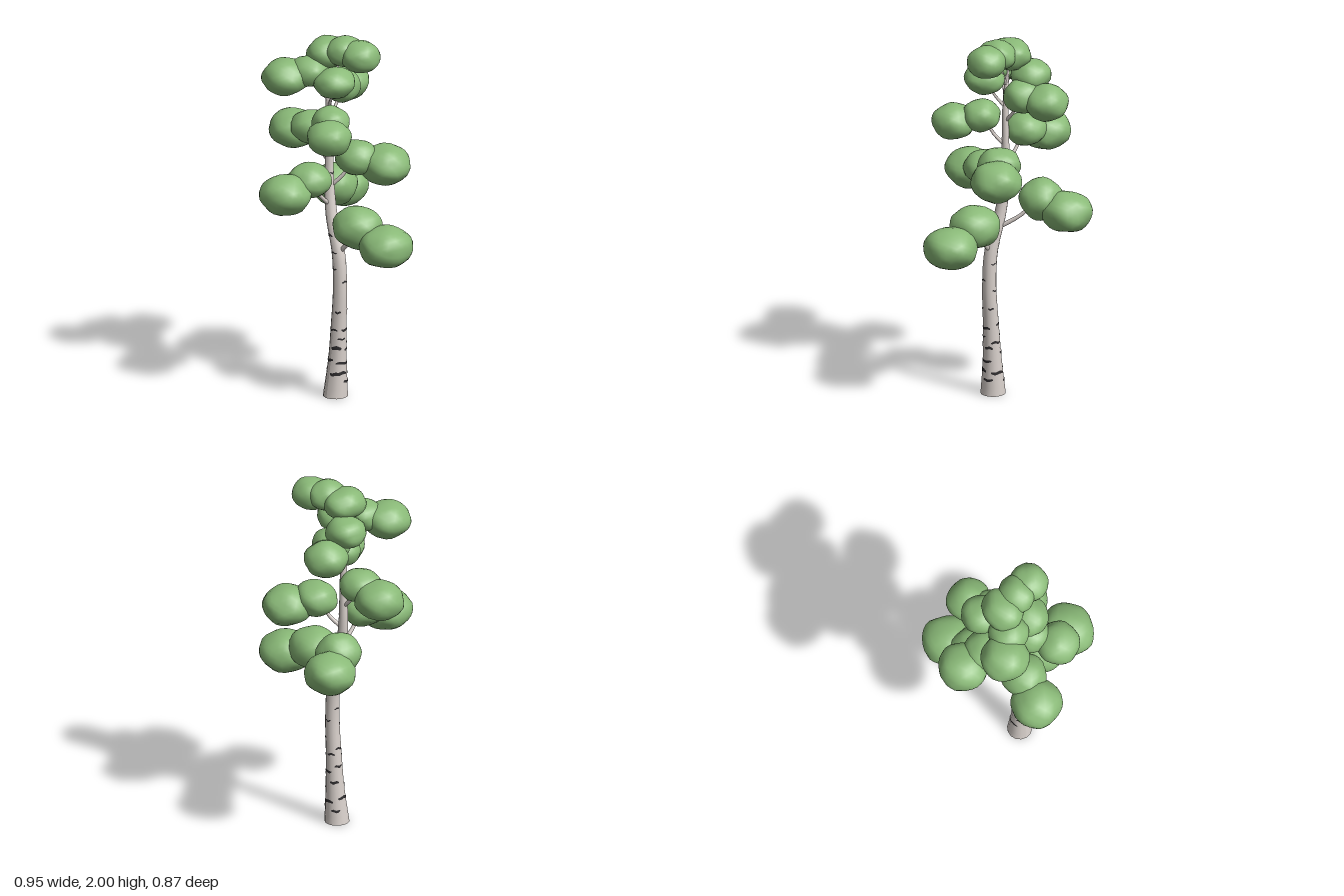
import * as THREE from 'three';
import { mergeVertices } from 'three/addons/utils/BufferGeometryUtils.js';

const TRUNK_H = 1.8;
const V = (x, y, z) => new THREE.Vector3(x, y, z);

// Trunk profile at equal height steps: centre x, radius, centre z
const profile = new THREE.CatmullRomCurve3([
  [0, 0.067, 0.005], [0.01, 0.05, 0], [0.02, 0.042, 0], [0.03, 0.038, 0], [0.018, 0.036, 0],
  [-0.04, 0.032, -0.005], [-0.068, 0.025, -0.015], [-0.068, 0.02, -0.015],
  [-0.07, 0.016, -0.012], [-0.085, 0.009, -0.01],
].map(p => V(...p)), false, 'catmullrom');

// Point on the trunk; angle 0 faces +z, 90 degrees faces +x
function onTrunk(y, angle, offset = 0, scale = 1) {
  const p = profile.getPoint(THREE.MathUtils.clamp(y / TRUNK_H, 0, 1));
  const r = (p.y + offset) * scale;
  return V(p.x + r * Math.sin(angle), y, p.z + r * Math.cos(angle));
}

function moveVertices(geo, rule) {
  const pos = geo.attributes.position;
  for (let i = 0; i < pos.count; i++) {
    const p = rule(V(0, 0, 0).fromBufferAttribute(pos, i));
    pos.setXYZ(i, p.x, p.y, p.z);
  }
  geo.computeVertexNormals();
  return geo;
}

function trunkGeometry() {
  const geo = new THREE.CylinderGeometry(1, 1, TRUNK_H, 14, 40);
  return moveVertices(geo, v =>
    onTrunk(v.y + TRUNK_H / 2, Math.atan2(v.x, v.z), 0, Math.min(1, Math.hypot(v.x, v.z))));
}

// Thin dark bark patch wrapped around the trunk, tapering at its ends
function markGeometry(y, angle, halfWidth, height) {
  return moveVertices(new THREE.PlaneGeometry(2, 1, 8, 1), v => {
    const taper = 1 - 0.6 * v.x ** 4;
    const wobble = 0.003 * Math.sin(v.x * 4 + y * 50);
    return onTrunk(y + v.y * height * taper + wobble, angle + v.x * halfWidth, 0.002);
  });
}

// Tapered branch following a curve
function branchGeometry(points, r0, r1) {
  const curve = new THREE.CatmullRomCurve3(points);
  const steps = 12, sides = 7;
  const geo = new THREE.TubeGeometry(curve, steps, 1, sides);
  const pos = geo.attributes.position;
  for (let i = 0; i < pos.count; i++) {
    const t = Math.floor(i / (sides + 1)) / steps;
    const c = curve.getPointAt(t);
    const p = V(0, 0, 0).fromBufferAttribute(pos, i).sub(c).multiplyScalar(r0 + (r1 - r0) * t).add(c);
    pos.setXYZ(i, p.x, p.y, p.z);
  }
  return geo;
}

// Lumpy leaf cluster
function leafGeometry([x, y, z, rx, ry, rz], seed) {
  let geo = new THREE.IcosahedronGeometry(1, 4);
  geo.deleteAttribute('uv');
  geo.deleteAttribute('normal');
  geo = mergeVertices(geo, 1e-4);
  return moveVertices(geo, v => {
    const n = Math.sin(v.x * 4.3 + seed * 1.7) * Math.sin(v.y * 4.7 + seed * 2.3)
      + Math.sin(v.z * 4.9 + seed * 3.1) * Math.sin(v.x * 3.7 - v.y * 3 + seed)
      + 0.5 * Math.sin(v.x * 8 + v.z * 7 + seed * 5) * Math.sin(v.y * 8 - v.z * 5 + seed);
    const s = 0.99 + 0.03 * n;
    return V(x + v.x * rx * s, y + v.y * ry * s, z + v.z * rz * s);
  });
}

// Each bough: leaf clusters from the trunk outwards (centre, then radii)
const boughs = [
  [[0.145, 0.97, -0.02, 0.14, 0.115, 0.135], [0.335, 0.90, -0.045, 0.143, 0.112, 0.15]],
  [[-0.19, 1.095, -0.17, 0.122, 0.115, 0.122], [-0.257, 1.043, -0.3, 0.138, 0.11, 0.138]],
  [[-0.06, 1.22, 0.14, 0.122, 0.095, 0.12], [-0.083, 1.17, 0.295, 0.138, 0.11, 0.138]],
  [[0.05, 1.32, -0.105, 0.12, 0.095, 0.115], [0.155, 1.28, -0.21, 0.137, 0.11, 0.137]],
  [[-0.205, 1.45, -0.02, 0.115, 0.09, 0.115], [-0.343, 1.41, -0.018, 0.135, 0.105, 0.134]],
  [[0.03, 1.55, 0.07, 0.105, 0.087, 0.1], [0.13, 1.51, 0.175, 0.12, 0.096, 0.12]],
  [[-0.09, 1.685, -0.13, 0.105, 0.095, 0.1], [-0.165, 1.663, -0.238, 0.12, 0.1, 0.12]],
  [[-0.12, 1.805, 0.08, 0.11, 0.085, 0.105], [-0.203, 1.775, 0.175, 0.13, 0.1, 0.128]],
  [[0.03, 1.765, 0.04, 0.107, 0.083, 0.115]],
  [[-0.175, 1.78, -0.1, 0.11, 0.085, 0.108]],
  [[-0.088, 1.895, -0.025, 0.108, 0.085, 0.122]],
  [[0.015, 1.917, -0.05, 0.095, 0.083, 0.107], [0.11, 1.905, -0.075, 0.105, 0.087, 0.107]],
];

// Bark marks: height, angle, half width (radians), thickness
const marks = [
  [0.9, -0.2, 0.6, 0.014], [0.81, 0.1, 0.5, 0.008], [0.72, 0, 0.4, 0.008], [0.56, -0.7, 0.5, 0.01],
  [0.48, 0.6, 0.4, 0.012], [0.38, 0, 0.7, 0.011], [0.28, 0.6, 0.6, 0.02], [0.21, -0.4, 0.7, 0.016],
  [0.135, 0.6, 0.5, 0.018], [0.65, 1.5, 0.45, 0.01], [0.38, 1.75, 0.6, 0.014], [0.33, 1.2, 0.5, 0.01],
  [0.27, 2.1, 0.5, 0.015], [0.195, 1.5, 0.9, 0.014], [0.14, 1.3, 0.5, 0.018], [0.09, 2.0, 0.5, 0.014],
  [1.23, 1.6, 0.6, 0.01], [0.74, 3.0, 0.4, 0.008], [0.59, 3.3, 0.4, 0.009], [0.49, 2.6, 0.4, 0.01],
  [0.4, 3.6, 0.5, 0.012], [0.3, 3.0, 0.6, 0.014], [0.24, 3.9, 0.5, 0.015], [0.13, 3.0, 0.7, 0.016],
  [0.08, 3.9, 0.4, 0.014], [0.84, 4.4, 0.5, 0.01], [0.66, 4.6, 0.4, 0.009], [0.43, 4.7, 0.5, 0.012],
  [0.33, 4.5, 0.5, 0.013], [0.15, 4.8, 0.6, 0.016], [1.08, 3.2, 0.5, 0.01], [1.36, 0.1, 0.5, 0.008],
];

export function createModel() {
  const bark = new THREE.MeshStandardMaterial({ color: 0xd8d0cb });
  bark.name = 'pale bark';
  const dark = new THREE.MeshStandardMaterial({ color: 0x2f2d2f, side: THREE.DoubleSide });
  dark.name = 'dark bark marks';
  const green = new THREE.MeshStandardMaterial({ color: 0x8aba78 });
  green.name = 'leaf green';

  const tree = new THREE.Group();
  tree.name = 'birchTree';
  const add = (parent, name, geo, mat) => {
    const mesh = new THREE.Mesh(geo, mat);
    mesh.name = name;
    parent.add(mesh);
  };
  const subgroup = name => {
    const g = new THREE.Group();
    g.name = name;
    tree.add(g);
    return g;
  };

  add(tree, 'trunk', trunkGeometry(), bark);

  const markGroup = subgroup('barkMarks');
  marks.forEach(m => add(markGroup, 'barkMark', markGeometry(...m), dark));

  const branchGroup = subgroup('branches');
  const leafGroup = subgroup('foliage');
  let seed = 1;
  boughs.forEach(clusters => {
    // Branch leaves the trunk below the first cluster and ends inside the last
    const [x, y, z] = clusters[0];
    const startY = Math.min(y - 0.17, 1.72);
    const start = onTrunk(startY, 0, 0, 0);
    const inner = V(x, y, z);
    const elbow = start.clone().lerp(inner, 0.5).add(V(0, -0.015, 0));
    const path = [start, elbow, inner];
    if (clusters[1]) path.push(V(...clusters[1].slice(0, 3)));
    add(branchGroup, 'branch', branchGeometry(path, 0.019 - 0.006 * startY, 0.004), bark);
    clusters.forEach(c => add(leafGroup, 'leafCluster', leafGeometry(c, seed++), green));
  });

  return tree;
}
